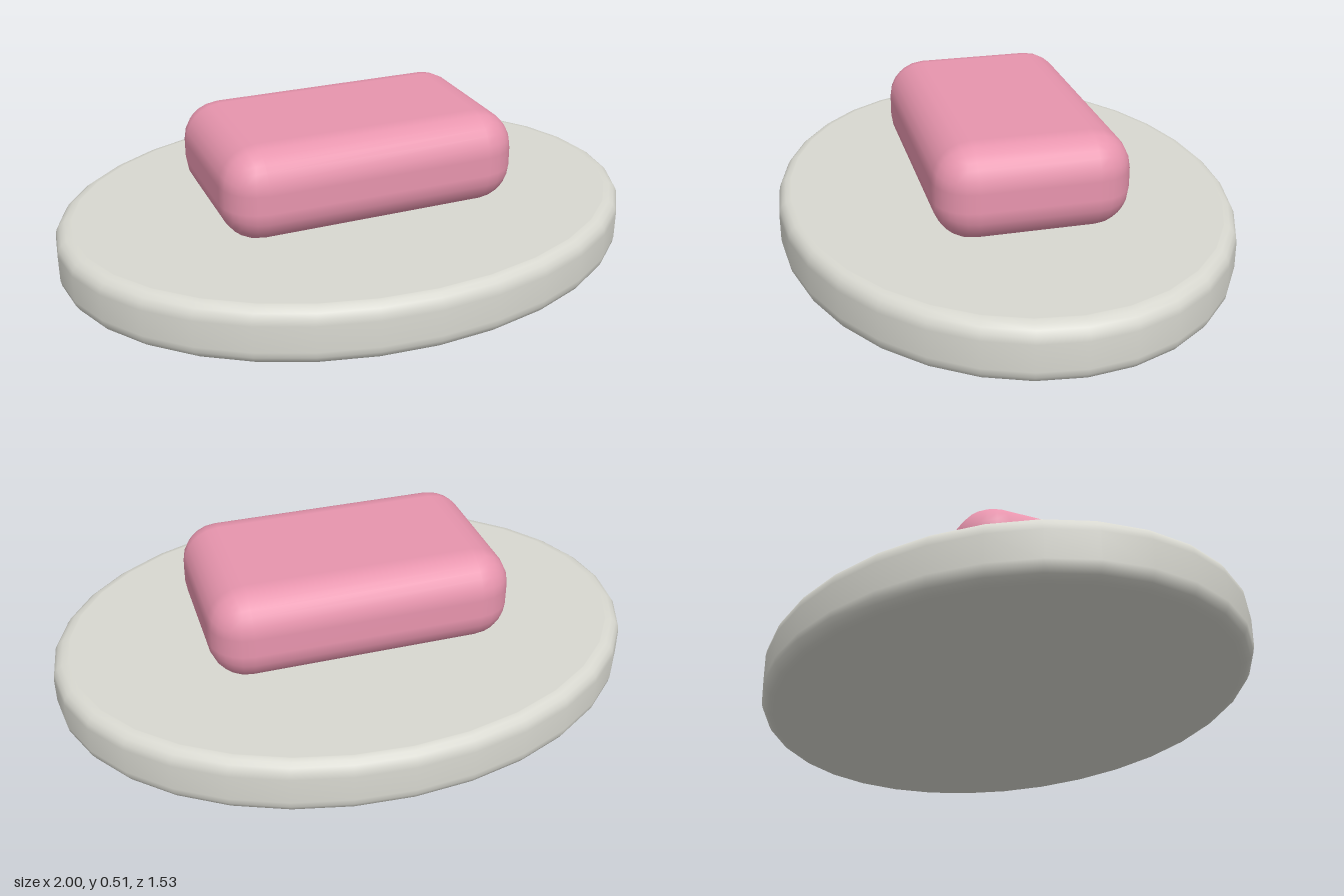
import * as THREE from 'three';
import { RoundedBoxGeometry } from 'three/addons/geometries/RoundedBoxGeometry.js';

export function createModel() {
  const group = new THREE.Group();
  const stone = new THREE.MeshStandardMaterial({ color: 0xd8d8d0 });
  stone.name = 'pale grey';
  const pink = new THREE.MeshStandardMaterial({ color: 0xe895ae });
  pink.name = 'soap pink';

  // Oval dish: a flat disc with rounded rims, squeezed along z
  const height = 0.193, bevel = 0.052, steps = 4;
  const profile = [new THREE.Vector2(0, 0), new THREE.Vector2(1 - bevel - 0.004, 0)];
  for (const side of [0, 1]) {
    for (let i = 0; i <= steps; i++) {
      const a = (side - 1 + i / steps) * Math.PI / 2;
      const cy = side ? height - bevel : bevel;
      profile.push(new THREE.Vector2(1 - bevel + bevel * Math.cos(a), cy + bevel * Math.sin(a)));
    }
  }
  profile.push(new THREE.Vector2(1 - bevel - 0.004, height), new THREE.Vector2(0, height));
  const dishGeometry = new THREE.LatheGeometry(profile, 32);
  dishGeometry.scale(1, 1, 0.767);
  const dish = new THREE.Mesh(dishGeometry, stone);
  dish.name = 'dish';
  group.add(dish);

  // Soap bar resting on the dish
  const soap = new THREE.Mesh(new RoundedBoxGeometry(1.022, 0.318, 0.638, 3, 0.128), pink);
  soap.name = 'soapBar';
  soap.position.y = 0.351;
  group.add(soap);

  return group;
}
